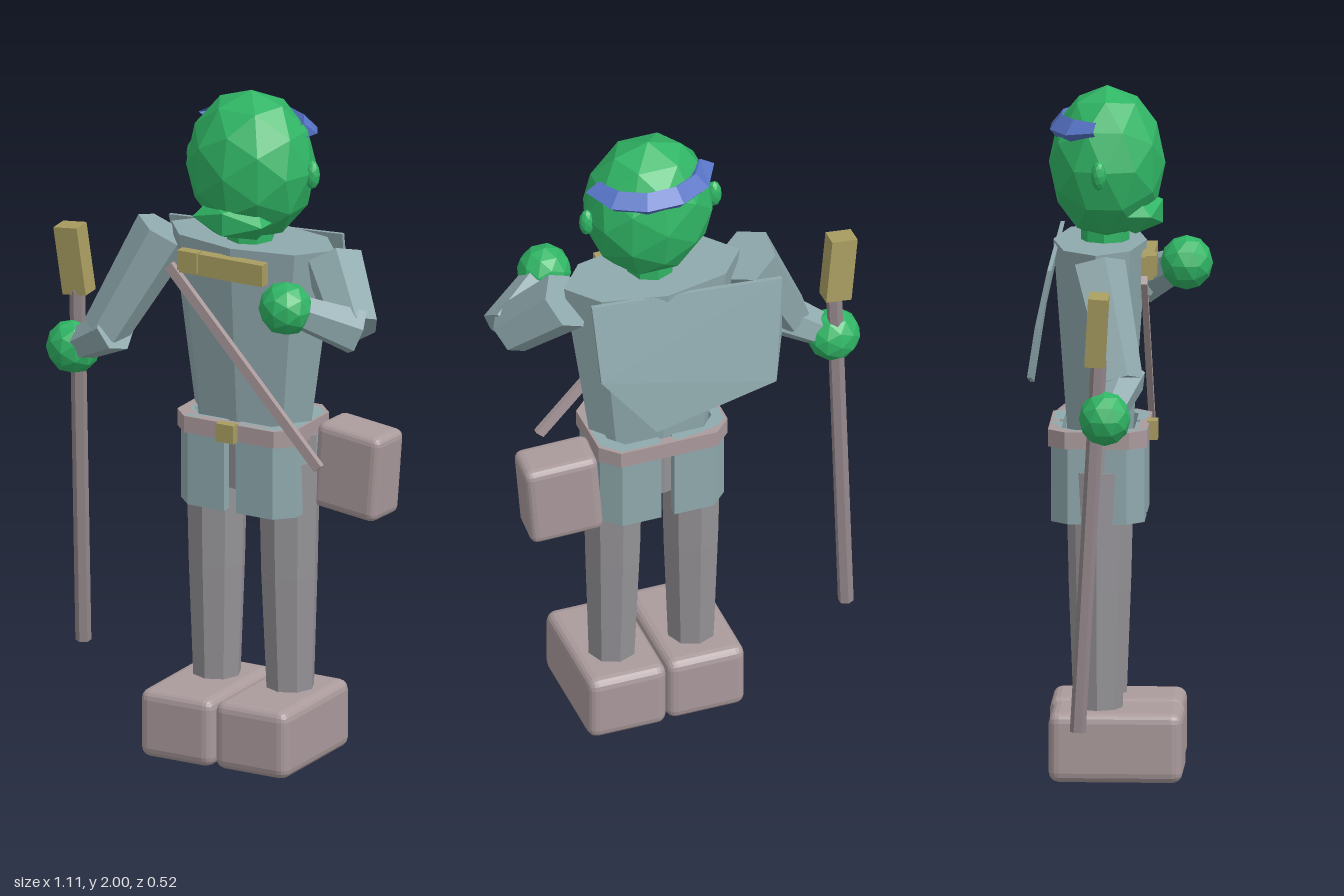
import * as THREE from 'three';
import { RoundedBoxGeometry } from 'three/addons/geometries/RoundedBoxGeometry.js';

const V = (x, y, z) => new THREE.Vector3(x, y, z);
const CX = 0.09, CZ = -0.055; // body axis

export function createModel() {
  const model = new THREE.Group();
  model.name = 'figure';

  const material = (color, flatShading = true) =>
    new THREE.MeshStandardMaterial({ color, flatShading, side: THREE.DoubleSide });
  const skin = material(0x30b565), tunic = material(0x8fa9ad), trousers = material(0x949296);
  const leather = material(0xaa9a9c), wood = material(0x93878a);
  const gold = material(0xa89c60), cloth = material(0x5572c4);

  const add = (name, geometry, mat, x = 0, y = 0, z = 0) => {
    const mesh = new THREE.Mesh(geometry, mat);
    mesh.name = name;
    mesh.position.set(x, y, z);
    model.add(mesh);
    return mesh;
  };
  const ball = (name, x, y, z, rx, ry, rz, detail = 1) =>
    add(name, new THREE.IcosahedronGeometry(1, detail).scale(rx, ry, rz), skin, x, y, z);
  // Tapered prism running from point a to point b
  const limb = (name, a, b, ra, rb, sides, mat) => {
    const dir = b.clone().sub(a);
    const mesh = add(name, new THREE.CylinderGeometry(rb, ra, dir.length(), sides), mat);
    mesh.position.copy(a).addScaledVector(dir, 0.5);
    mesh.quaternion.setFromUnitVectors(V(0, 1, 0), dir.normalize());
    return mesh;
  };
  // Upright eight-sided section with oval plan
  const barrel = (name, top, bottom, y0, y1, depth, mat) =>
    add(name, new THREE.CylinderGeometry(top, bottom, y1 - y0, 8).scale(1, 1, depth),
      mat, CX, (y0 + y1) / 2, CZ);

  // Head
  ball('head', 0.095, 1.775, -0.035, 0.195, 0.225, 0.168);
  ball('muzzle', 0.09, 1.635, 0.05, 0.135, 0.065, 0.09, 0);
  for (const s of [-1, 1]) ball(s < 0 ? 'rightEar' : 'leftEar', 0.093 + s * 0.195, 1.77, -0.05, 0.023, 0.043, 0.022);
  limb('neck', V(CX, 1.5, -0.04), V(CX, 1.62, -0.04), 0.07, 0.07, 8, skin);

  // Headband round the back of the head, tapering toward its ends
  const band = new THREE.TorusGeometry(0.158, 0.042, 4, 5, Math.PI * 0.9);
  band.rotateZ(Math.PI * 0.05).rotateX(-Math.PI / 2).scale(1, 1, 0.82);
  const bp = band.attributes.position;
  for (let i = 0; i < bp.count; i++) {
    const back = Math.min(1, Math.max(0, -bp.getZ(i) / 0.1));
    bp.setY(i, bp.getY(i) * (0.4 + 0.6 * back) + 0.02 * (1 - back));
  }
  add('headband', band, cloth, 0.1, 1.878, -0.04);

  // Torso and hips
  barrel('torso', 0.27, 0.185, 0.96, 1.55, 0.5, tunic);
  barrel('hips', 0.21, 0.205, 0.81, 0.98, 0.5, trousers);

  // Tunic skirt: two half shells split at front and back
  const halfShell = [[0.02, 0.135], [0.14, 0.135], [0.19, 0.085], [0.19, -0.085], [0.14, -0.135], [0.02, -0.135],
    [0.02, -0.105], [0.12, -0.105], [0.16, -0.06], [0.16, 0.06], [0.12, 0.105], [0.02, 0.105]];
  for (const s of [-1, 1]) {
    const shape = new THREE.Shape(halfShell.map(([x, z]) => new THREE.Vector2(s * x, z)));
    const skirt = new THREE.ExtrudeGeometry(shape, { depth: 0.27, bevelEnabled: false }).rotateX(Math.PI / 2);
    add(s < 0 ? 'rightSkirt' : 'leftSkirt', skirt, tunic, CX, 1.02, CZ);
  }

  // Belt and buckle
  const beltShape = new THREE.Shape();
  const ring = (r, d) => [[r - 0.05, d], [r, d - 0.05], [r, 0.05 - d], [r - 0.05, -d],
    [0.05 - r, -d], [-r, 0.05 - d], [-r, d - 0.05], [0.05 - r, d]].map(([x, y]) => new THREE.Vector2(x, y));
  beltShape.setFromPoints(ring(0.198, 0.143));
  beltShape.holes.push(new THREE.Path(ring(0.17, 0.115)));
  add('belt', new THREE.ExtrudeGeometry(beltShape, { depth: 0.05, bevelEnabled: false }).rotateX(Math.PI / 2),
    leather, CX, 1.02, CZ);
  add('buckle', new THREE.BoxGeometry(0.058, 0.055, 0.03), gold, 0.09, 0.997, 0.097);

  // Chest bar with end block, and the diagonal strap
  add('chestBar', new THREE.BoxGeometry(0.275, 0.065, 0.035), gold, 0.073, 1.493, 0.088);
  add('chestBlock', new THREE.BoxGeometry(0.065, 0.06, 0.03), gold, -0.033, 1.5, 0.1);
  const strap = add('strap', new THREE.BoxGeometry(0.03, 0.73, 0.018), leather, 0.138, 1.2, 0.082);
  strap.rotation.z = Math.atan2(0.495, 0.535);

  // Shoulder bag at the hip
  const bag = add('bag', new RoundedBoxGeometry(0.22, 0.26, 0.14, 2, 0.025), leather, 0.4, 0.88, -0.12);
  bag.rotation.set(0, -0.08, -0.08);

  // Legs and boots
  for (const [side, x, z] of [['right', -0.03, 0], ['left', 0.213, -0.008]]) {
    const hipX = x < 0 ? -0.03 : 0.21;
    limb(side + 'Shin', V(x, 0.18, CZ), V(hipX, 0.55, CZ), 0.07, 0.084, 8, trousers);
    limb(side + 'Thigh', V(hipX, 0.55, CZ), V(hipX, 0.9, CZ), 0.084, 0.092, 8, trousers);
    add(side + 'Boot', new RoundedBoxGeometry(0.24, 0.205, 0.385, 2, 0.03), leather, x, 0.1025, z);
  }

  // Right arm reaching out to the staff
  limb('rightUpperArm', V(-0.2, 1.52, -0.055), V(-0.355, 1.21, 0.025), 0.09, 0.068, 6, tunic);
  limb('rightForearm', V(-0.315, 1.225, 0.035), V(-0.46, 1.14, -0.005), 0.068, 0.05, 6, tunic);
  ball('rightHand', -0.482, 1.13, -0.013, 0.08, 0.08, 0.075);

  // Left arm bent in front of the chest
  limb('leftUpperArm', V(0.355, 1.51, -0.06), V(0.485, 1.36, 0.05), 0.09, 0.075, 6, tunic);
  limb('leftForearm', V(0.5, 1.36, 0.06), V(0.36, 1.43, 0.16), 0.07, 0.05, 6, tunic);
  ball('leftHand', 0.333, 1.44, 0.182, 0.08, 0.08, 0.076);

  // Staff with block head
  limb('staff', V(-0.492, 0.215, -0.09), V(-0.478, 1.3, -0.03), 0.023, 0.023, 6, wood);
  const block = add('staffHead', new THREE.BoxGeometry(0.078, 0.205, 0.058), gold, -0.49, 1.39, -0.035);
  block.rotation.set(0.06, 0, 0.115);

  // Cape plate on the back, curving outward toward its hem
  const cape = new THREE.ExtrudeGeometry(new THREE.Shape([[-0.26, 1.52], [-0.245, 1.35], [-0.22, 1.2], [0.15, 1.12],
    [0.31, 1.32], [0.32, 1.56]].map(([x, y]) => new THREE.Vector2(x, y))), { depth: 0.012, bevelEnabled: false });
  const cp = cape.attributes.position;
  for (let i = 0; i < cp.count; i++) {
    const drop = 1.56 - cp.getY(i);
    cp.setZ(i, cp.getZ(i) - 0.18 - 0.26 * drop + 0.18 * drop * drop);
  }
  cape.computeVertexNormals();
  add('cape', cape, tunic);

  return model;
}
